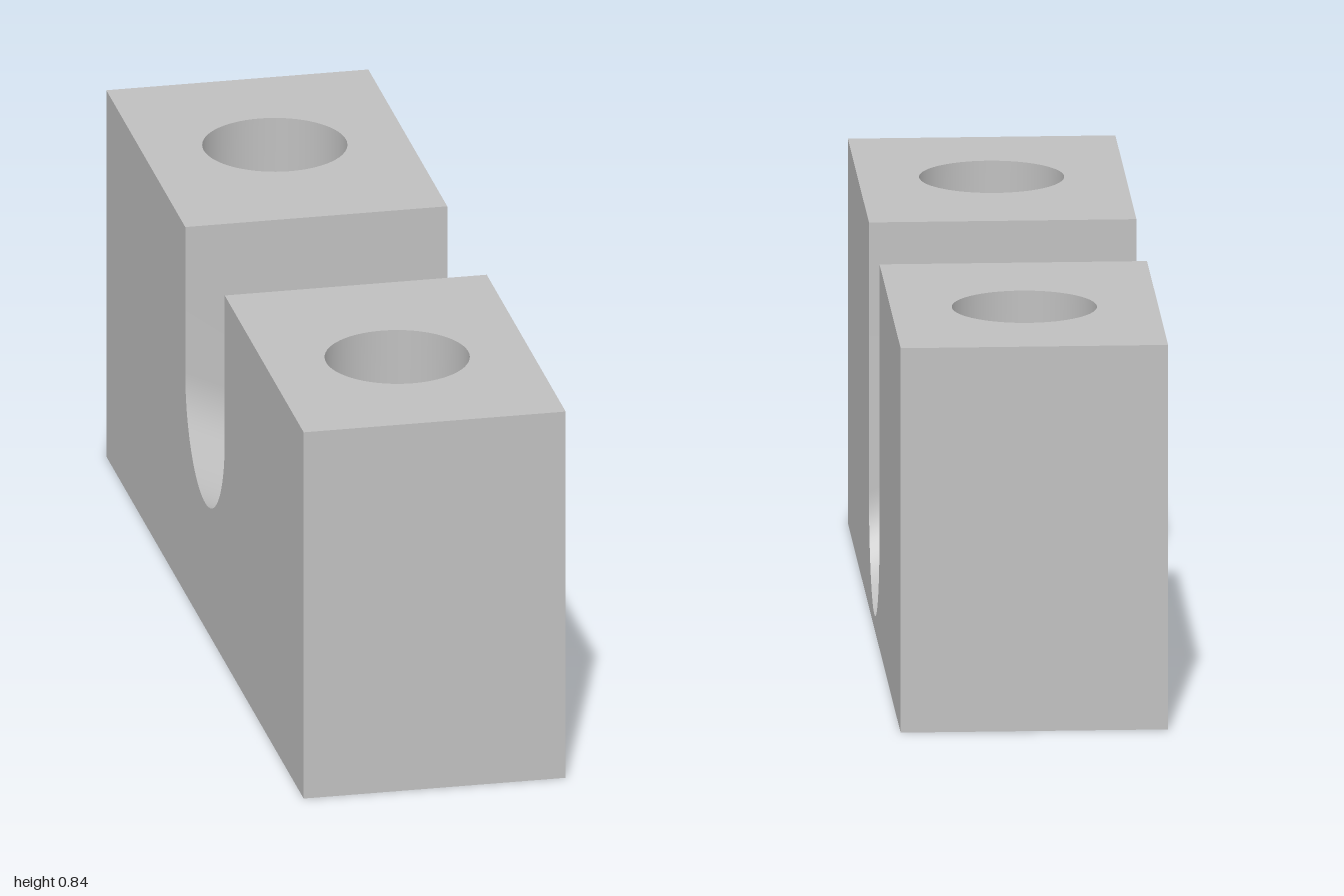
import * as THREE from 'three';
import { toCreasedNormals, mergeGeometries } from 'three/addons/utils/BufferGeometryUtils.js';

const W = 0.284, H = 0.836, L = 1;           // half width, height, half length
const SLOT_R = 0.2, SLOT_RY = 0.22;          // the slot's round floor is tilted, so its ends are elliptical
const HOLE_Z = 0.62, HOLE_R = 0.154, HEX_R = 0.297, POCKET_H = 0.42;

// Points [x, z] of a regular polygon or circle
const ring = (r, n, zc, start = 0) => Array.from({ length: n + 1 }, (_, i) => {
  const t = start + (i / n) * Math.PI * 2;
  return [r * Math.cos(t), zc + r * Math.sin(t)];
});
const circle = (zc) => ring(HOLE_R, 64, zc);
const hexagon = (zc) => ring(HEX_R, 6, zc, Math.PI / 2);

// Slot outline [z, y] at one side of the block
function slotOutline(axisY) {
  const pts = [[SLOT_R, H]];
  for (let i = 0; i <= 48; i++) {
    const t = (i / 48) * Math.PI;
    pts.push([SLOT_R * Math.cos(t), axisY - SLOT_RY * Math.sin(t)]);
  }
  pts.push([-SLOT_R, H]);
  return pts;
}

// Wall of quads between two matching point lists
function strip(a, b) {
  const pos = [];
  for (let i = 0; i < a.length - 1; i++) {
    pos.push(...a[i], ...a[i + 1], ...b[i + 1], ...a[i], ...b[i + 1], ...b[i]);
  }
  const g = new THREE.BufferGeometry();
  g.setAttribute('position', new THREE.Float32BufferAttribute(pos, 3));
  g.computeVertexNormals();
  return toCreasedNormals(g, 0.6);
}

// Vertical wall of a hole, facing inward
const holeWall = (pts, y0, y1) =>
  strip(pts.map(([x, z]) => [x, y0, z]), pts.map(([x, z]) => [x, y1, z]));

// Flat face with optional holes
function face(outline, holes = []) {
  const vec = (list) => list.map(([x, y]) => new THREE.Vector2(x, y));
  const s = new THREE.Shape(vec(outline));
  s.holes = holes.map((h) => new THREE.Path(vec(h.slice(0, -1))));
  return new THREE.ShapeGeometry(s);
}
const rect = (z0, z1) => [[-W, z0], [W, z0], [W, z1], [-W, z1]];

export function createModel() {
  const group = new THREE.Group();
  const grey = new THREE.MeshStandardMaterial({ color: 0xbfbfbf });
  grey.name = 'grey';
  const add = (name, ...geos) => {
    const mesh = new THREE.Mesh(geos.length > 1 ? mergeGeometries(geos) : geos[0], grey);
    mesh.name = name;
    group.add(mesh);
  };

  // Underside with two hexagonal openings
  add('underside', face(rect(-L, L), [hexagon(-HOLE_Z), hexagon(HOLE_Z)]).rotateX(Math.PI / 2));

  // Two posts: top face, bolt hole and nut pocket
  for (const [side, s] of [['front', 1], ['back', -1]]) {
    const z = s * HOLE_Z;
    const [z0, z1] = s > 0 ? [SLOT_R, L] : [-L, -SLOT_R];
    add(side + 'Top', face(rect(-z1, -z0), [circle(-z)]).rotateX(-Math.PI / 2).translate(0, H, 0));
    add(side + 'BoltHole', holeWall(circle(z), POCKET_H, H));
    add(side + 'NutPocket', holeWall(hexagon(z), 0, POCKET_H));
    add(side + 'PocketCeiling',
      face(hexagon(z).slice(0, -1), [circle(z)]).rotateX(Math.PI / 2).translate(0, POCKET_H, 0));
    add(side + 'End', new THREE.PlaneGeometry(2 * W, H)
      .translate(0, H / 2, L).rotateY(s > 0 ? 0 : Math.PI));
  }

  // Long sides, and the slot whose floor slopes from right to left
  const low = slotOutline(0.25), high = slotOutline(0.505);
  for (const [name, s, slot] of [['leftSide', 1, low], ['rightSide', -1, high]]) {
    add(name, face([[L, 0], [L, H], ...slot, [-L, H], [-L, 0]])
      .translate(0, 0, W).rotateY(s * Math.PI / 2));
  }
  add('slopedSlot', strip(low.map(([z, y]) => [W, y, z]), high.map(([z, y]) => [-W, y, z])));

  return group;
}
